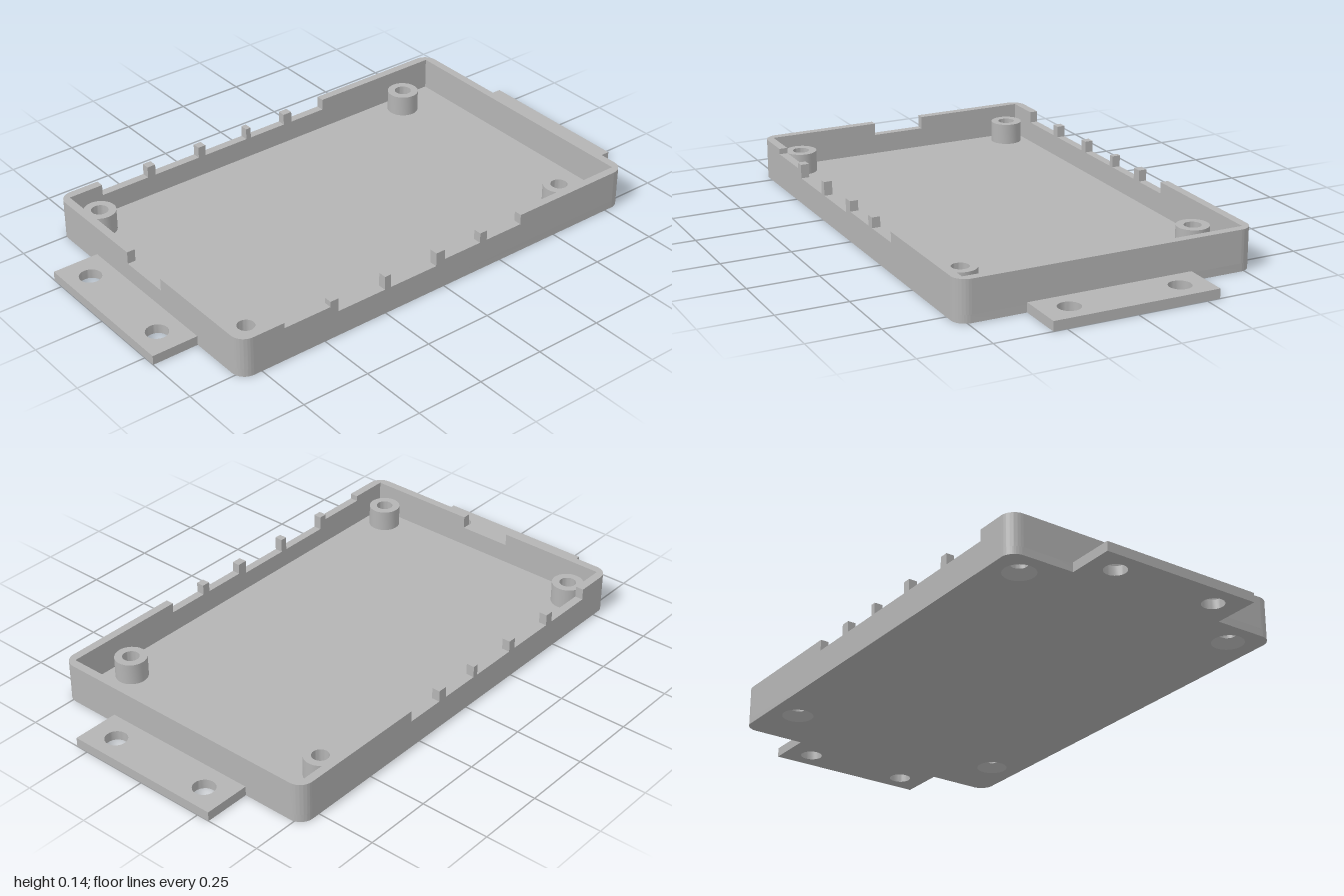
import * as THREE from 'three';
import { toCreasedNormals } from 'three/addons/utils/BufferGeometryUtils.js';

const W = 0.83, D = 0.535, H = 0.145;   // half width, half depth, rim height
const T = 0.03, R = 0.05, FLOOR = 0.028; // wall thickness, corner radius, floor thickness

// Outline with round corners, in plan
function roundedRect(w, d, r) {
  const s = new THREE.Shape();
  s.absarc(w - r, d - r, r, 0, Math.PI / 2);
  s.absarc(-w + r, d - r, r, Math.PI / 2, Math.PI);
  s.absarc(-w + r, -d + r, r, Math.PI, Math.PI * 1.5);
  s.absarc(w - r, -d + r, r, Math.PI * 1.5, Math.PI * 2);
  s.closePath();
  return s;
}

function addHole(shape, x, z, r) {
  const p = new THREE.Path();
  p.absarc(x, -z, r, 0, Math.PI * 2, true);
  shape.holes.push(p);
}

// Extrude a plan shape upwards (shape y is -z)
function slab(shape, height) {
  const g = new THREE.ExtrudeGeometry(shape, { depth: height, bevelEnabled: false, curveSegments: 16 });
  return toCreasedNormals(g.rotateX(-Math.PI / 2), 0.6);
}

// Straight wall, with notches given as [from, to, sill height]
function notchedWall(half, notches) {
  const s = new THREE.Shape();
  s.moveTo(half, FLOOR);
  s.lineTo(half, H);
  for (const [a, b, y] of [...notches].reverse()) {
    s.lineTo(b, H);
    s.lineTo(b, y);
    s.lineTo(a, y);
    s.lineTo(a, H);
  }
  s.lineTo(-half, H);
  s.lineTo(-half, FLOOR);
  s.closePath();
  return new THREE.ExtrudeGeometry(s, { depth: T, bevelEnabled: false });
}

export function createModel() {
  const group = new THREE.Group();
  const grey = new THREE.MeshStandardMaterial({ color: 0xb4b4b4 });
  grey.name = 'grey plastic';
  const add = (name, geometry, x = 0, y = 0, z = 0) => {
    const m = new THREE.Mesh(geometry, grey);
    m.name = name;
    m.position.set(x, y, z);
    group.add(m);
    return m;
  };

  // Floor, open under each standoff
  const posts = [[-0.73, -0.43], [0.623, -0.43], [-0.73, 0.425], [0.623, 0.425]];
  const floor = roundedRect(W, D, R);
  for (const [x, z] of posts) addHole(floor, x, z, 0.056);
  add('floor', slab(floor, FLOOR));

  // Front and back walls with connector notches
  add('frontWall', notchedWall(W - R, [
    [-0.66, -0.478, 0.125], [-0.447, -0.255, 0.095], [-0.23, -0.037, 0.095],
    [0, 0.155, 0.108], [0.185, 0.338, 0.108],
  ]), 0, 0, D - T);
  add('backWall', notchedWall(W - R, [
    [-0.67, -0.482, 0.104], [-0.45, -0.265, 0.104], [-0.235, -0.055, 0.104],
    [-0.035, 0.115, 0.104], [0.15, 0.295, 0.104],
  ]), 0, 0, -D);

  // End walls; the right one has a single notch
  add('leftWall', notchedWall(D - R, []).rotateY(-Math.PI / 2), W);
  add('rightWall', notchedWall(D - R, [[-0.1, 0.095, 0.1]]).rotateY(-Math.PI / 2), -W + T);

  // Rounded outside, square inside corners
  const corner = new THREE.Shape();
  corner.absarc(0, 0, R, 0, Math.PI / 2);
  corner.lineTo(0, R - T);
  corner.lineTo(R - T, R - T);
  corner.lineTo(R - T, 0);
  corner.closePath();
  const cornerGeo = slab(corner, H - FLOOR);
  [[1, -1], [-1, -1], [-1, 1], [1, 1]].forEach(([sx, sz], i) => {
    add('cornerWall', cornerGeo, sx * (W - R), FLOOR, sz * (D - R)).rotation.y = i * Math.PI / 2;
  });

  // Screw standoffs, countersunk from below
  const profile = [[0.057, FLOOR - 0.005], [0.057, 0.105], [0.03, 0.105], [0.03, 0.03], [0.056, 0]]
    .map(([x, y]) => new THREE.Vector2(x, y));
  const standoff = toCreasedNormals(new THREE.LatheGeometry(profile, 32), 0.5);
  for (const [x, z] of posts) add('standoff', standoff, x, 0, z);

  // Mounting tabs with two holes each
  for (const side of [1, -1]) {
    const tab = new THREE.Shape();
    tab.moveTo(-0.085, -0.297);
    tab.lineTo(0.085, -0.297);
    tab.lineTo(0.085, 0.297);
    tab.lineTo(-0.085, 0.297);
    tab.closePath();
    for (const z of [-0.2, 0.197]) addHole(tab, side * 0.002, z, 0.039);
    add(side > 0 ? 'leftTab' : 'rightTab', slab(tab, 0.034), side * 0.915);
  }
  return group;
}
